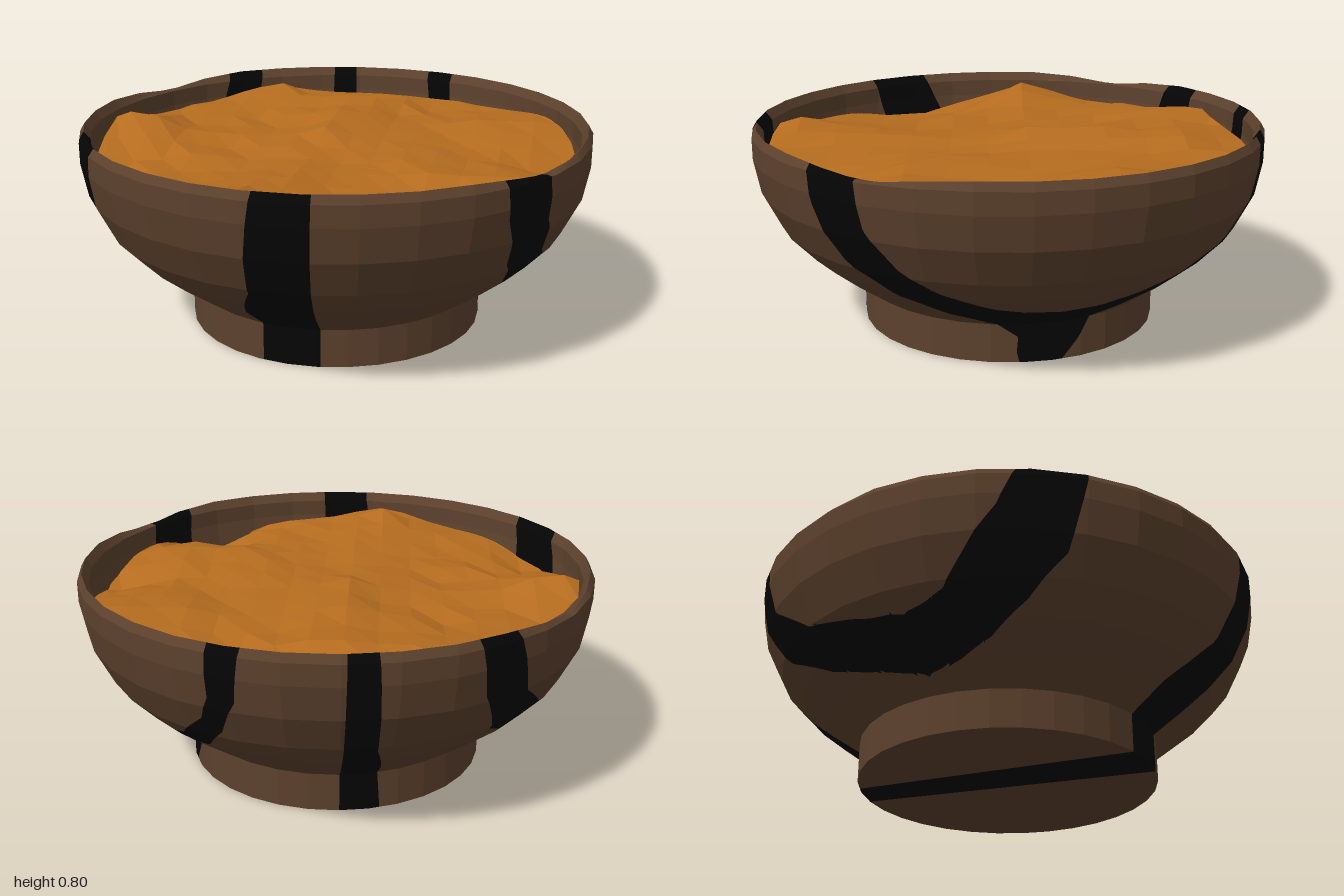
import * as THREE from 'three';

const SIDES = 32;
const STEP = 360 / SIDES;
const RAD = Math.PI / 180;

const wood = new THREE.MeshStandardMaterial({ color: 0x5c412d, flatShading: true });
wood.name = 'brown wood';
const stripe = new THREE.MeshStandardMaterial({ color: 0x050505, flatShading: true });
stripe.name = 'black glaze';
const filling = new THREE.MeshStandardMaterial({ color: 0xb56c1f, flatShading: true, side: THREE.DoubleSide });
filling.name = 'orange filling';

// Bowl wall [radius, height]: up the outside, over the rim, down the inside
const PROFILE = [
  [0.585, 0], [0.585, 0.15], [0.71, 0.24], [0.81, 0.32], [0.905, 0.42], [0.975, 0.56],
  [1, 0.69], [1, 0.77], [0.982, 0.8], [0.958, 0.765], [0.956, 0.7], [0.932, 0.57],
  [0.866, 0.44], [0.78, 0.35], [0.68, 0.275], [0.56, 0.19], [0, 0.19],
];

// Stripe edges [height, angle in degrees from the front], in order around the bowl
const EDGES = [
  // front loop with a drip down the foot
  [[0, 33], [0.04, 32], [0.1, 32.5], [0.15, 25], [0.22, 10], [0.3, 0], [0.45, -9], [0.65, -13.5], [0.8, -14.5]],
  [[0.24, 45], [0.25, 35], [0.27, 26], [0.35, 13], [0.45, 5], [0.6, -0.5], [0.8, -2]],
  [[0.24, 45], [0.245, 54], [0.27, 64], [0.3, 72], [0.36, 83], [0.5, 94], [0.6, 97], [0.8, 97.5]],
  [[0, 49], [0.07, 55], [0.15, 60], [0.22, 73], [0.33, 90], [0.45, 98], [0.6, 103], [0.8, 104.5]],
  // straight stripe at the back
  [[0, 124], [0.8, 125]],
  [[0, 139], [0.15, 138], [0.4, 132], [0.8, 131]],
  // back loop
  [[0.2, 206], [0.215, 199], [0.25, 186], [0.29, 175], [0.39, 161], [0.58, 154], [0.8, 151.5]],
  [[0.355, 206], [0.365, 197], [0.42, 178], [0.55, 166], [0.8, 161]],
  [[0.355, 206], [0.37, 212], [0.4, 217], [0.5, 222], [0.65, 229], [0.8, 233]],
  [[0.2, 206], [0.22, 217], [0.27, 227], [0.36, 236], [0.5, 244], [0.8, 248]],
  // straight stripe at the side
  [[0, 283], [0.15, 283], [0.25, 284], [0.4, 291], [0.8, 294.5]],
  [[0, 305], [0.25, 305], [0.8, 306]],
];

// Piecewise linear lookup
function lookup(table, x) {
  if (x <= table[0][0]) return table[0][1];
  for (let i = 1; i < table.length; i++) {
    const [x0, v0] = table[i - 1], [x1, v1] = table[i];
    if (x <= x1) return v0 + ((v1 - v0) * (x - x0)) / (x1 - x0);
  }
  return table[table.length - 1][1];
}

// Point on the faceted wall; the rim dips at the front and back
const DIP = [[0, 0.034], [STEP, 0.012], [STEP * 2, 0]];
function wallPoint(angle, r, y) {
  const off = angle - (Math.floor(angle / STEP) + 0.5) * STEP;
  const rr = (r * Math.cos((STEP / 2) * RAD)) / Math.cos(off * RAD);
  const fromAxis = Math.abs(angle - Math.round(angle / 180) * 180);
  const dip = lookup(DIP, fromAxis) * Math.max(0, (y - 0.765) / 0.035);
  return [rr * Math.sin(angle * RAD), y - dip, rr * Math.cos(angle * RAD)];
}

function meshFrom(positions, material, name) {
  const g = new THREE.BufferGeometry();
  g.setAttribute('position', new THREE.Float32BufferAttribute(positions, 3));
  g.computeVertexNormals();
  const m = new THREE.Mesh(g, material);
  m.name = name;
  return m;
}

// Strip of wall between two stripe edges, cut along the facets
function addRegion(out, left, right) {
  const clamp = THREE.MathUtils.clamp;
  for (let i = 1; i < PROFILE.length; i++) {
    const [ra, ya] = PROFILE[i - 1], [rb, yb] = PROFILE[i];
    const parts = Math.max(1, Math.ceil(Math.abs(yb - ya) / 0.008));
    for (let j = 0; j < parts; j++) {
      const t0 = j / parts, t1 = (j + 1) / parts;
      const r0 = ra + (rb - ra) * t0, y0 = ya + (yb - ya) * t0;
      const r1 = ra + (rb - ra) * t1, y1 = ya + (yb - ya) * t1;
      const a0 = left(y0), b0 = right(y0), a1 = left(y1), b1 = right(y1);
      const first = Math.floor(Math.min(a0, a1) / STEP);
      const last = Math.ceil(Math.max(b0, b1) / STEP);
      for (let k = first; k < last; k++) {
        const cut = (a) => clamp(a, k * STEP, (k + 1) * STEP);
        const [p, q, s, u] = [cut(a0), cut(b0), cut(b1), cut(a1)];
        const A = wallPoint(p, r0, y0), B = wallPoint(q, r0, y0);
        const C = wallPoint(s, r1, y1), D = wallPoint(u, r1, y1);
        if (q - p > 1e-6) out.push(...A, ...B, ...C);
        if (s - u > 1e-6) out.push(...A, ...C, ...D);
      }
    }
  }
}

// Flat piece of the underside bounded by arcs of the foot
function addBase(out, arcs) {
  const pts = [];
  for (const [from, to] of arcs) {
    pts.push(wallPoint(from, 0.585, 0));
    for (let k = Math.floor(from / STEP) + 1; k * STEP < to; k++) pts.push(wallPoint(k * STEP, 0.585, 0));
    pts.push(wallPoint(to, 0.585, 0));
  }
  for (let i = 1; i < pts.length - 1; i++) out.push(...pts[0], ...pts[i + 1], ...pts[i]);
}

// Lumpy surface: soft mounds, ridges and hollows over a base level
const MOUNDS = [ // x, z, height, width
  [-0.34, -0.77, 0.1, 0.16], [-0.8, 0.28, 0.08, 0.17], [0.45, -0.78, 0.05, 0.2],
  [0.7, 0.41, 0.055, 0.25], [-0.05, 0.73, 0.05, 0.2],
  [0.03, -0.08, 0.05, 0.18], [0.3, -0.22, 0.05, 0.18], [0.57, -0.33, 0.05, 0.18],
  [-0.48, 0.2, 0.035, 0.18], [0.05, 0.36, 0.03, 0.15],
  [-0.8, -0.5, -0.06, 0.22], [0.4, 0.85, -0.06, 0.2], [-0.33, 0.87, -0.09, 0.2],
];
function fillingHeight(x, z) {
  let y = 0.68;
  for (const [mx, mz, h, w] of MOUNDS) y += h * Math.exp(-((x - mx) ** 2 + (z - mz) ** 2) / (w * w));
  return y;
}

// Repeatable bump between -0.5 and 0.5 for each vertex
function bump(i) {
  const s = Math.sin(i * 12.9898 + 4.1) * 43758.5453;
  return s - Math.floor(s) - 0.5;
}

function createFilling() {
  const g = new THREE.PlaneGeometry(2, 2, 13, 17);
  g.rotateX(-Math.PI / 2);
  g.rotateY(30 * RAD);
  const p = g.attributes.position;
  for (let i = 0; i < p.count; i++) {
    let x = p.getX(i), z = p.getZ(i);
    const shrink = Math.min(1, 0.945 / Math.hypot(x, z));
    x *= shrink;
    z *= shrink;
    p.setXYZ(i, x, fillingHeight(x, z) + (shrink < 1 ? 0 : 0.028 * bump(i)), z);
  }
  const flat = g.toNonIndexed();
  flat.computeVertexNormals();
  const m = new THREE.Mesh(flat, filling);
  m.name = 'filling';
  return m;
}

export function createModel() {
  const model = new THREE.Group();
  model.name = 'filledBowl';

  // Bowl wall, alternating stripe and wood around the bowl
  const dark = [], brown = [];
  EDGES.forEach((edge, i) => {
    const wrap = i === EDGES.length - 1 ? 360 : 0;
    const next = EDGES[(i + 1) % EDGES.length];
    addRegion(i % 2 ? brown : dark, (y) => lookup(edge, y), (y) => lookup(next, y) + wrap);
  });

  // Underside with the stripe running across it
  addBase(dark, [[124, 139], [283, 305]]);
  addBase(brown, [[139, 283]]);
  addBase(brown, [[305, 484]]);

  model.add(meshFrom(brown, wood, 'bowl'));
  model.add(meshFrom(dark, stripe, 'bowlStripes'));
  model.add(createFilling());
  return model;
}
